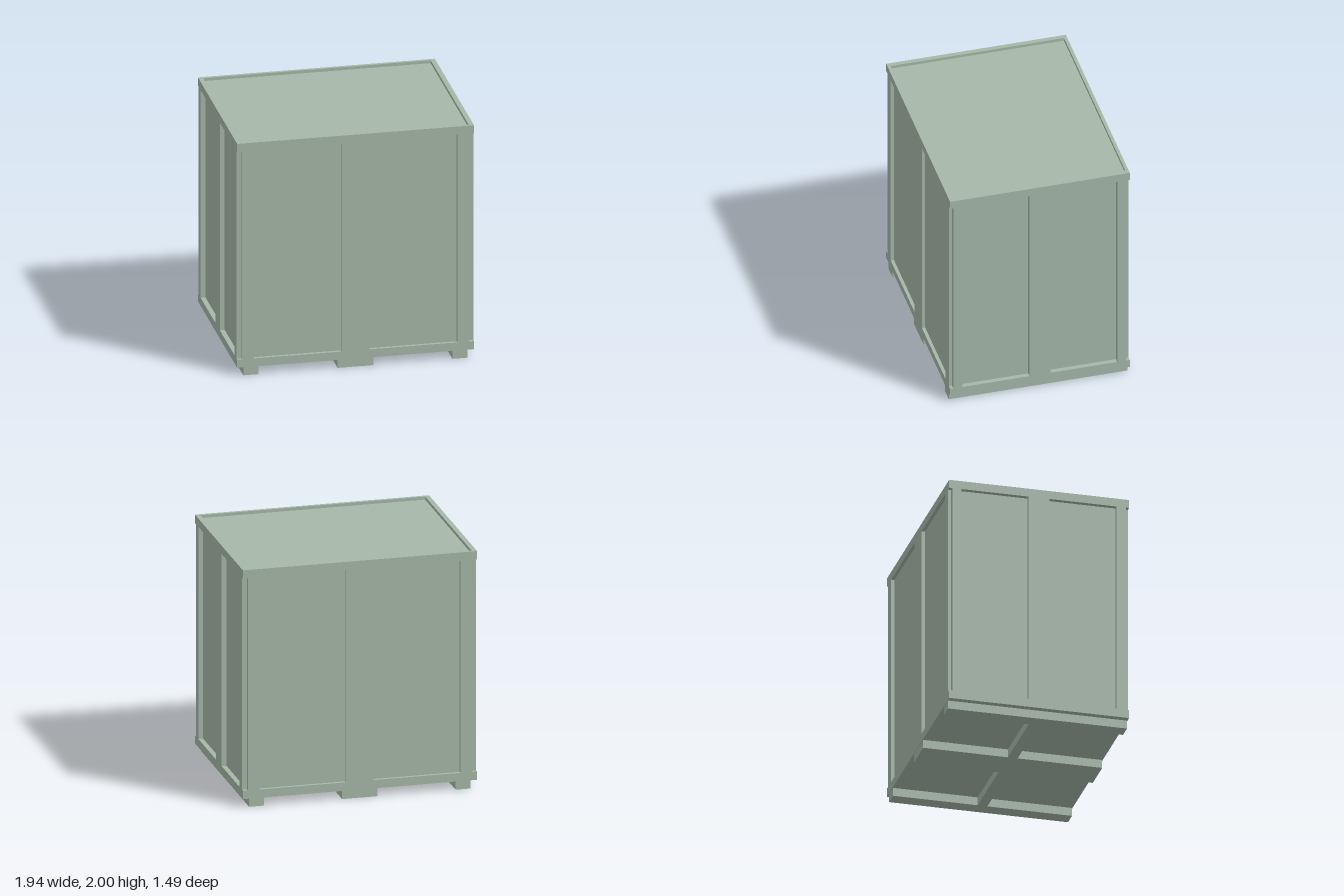
import * as THREE from 'three';

const W = 0.972, D = 0.747;      // outer half width and half depth
const IW = 0.932, ID = 0.72;     // half size of the inner panelled box
const BASE = 0.07, RAIL = 0.07, TOP = 2;

export function createModel() {
  const model = new THREE.Group();
  model.name = 'shippingCrate';
  const paint = new THREE.MeshStandardMaterial({ color: 0xa6b8a9 });
  paint.name = 'sage green';

  const add = (name, geometry) => {
    const mesh = new THREE.Mesh(geometry, paint);
    mesh.name = name;
    model.add(mesh);
  };

  // Box given by its limits on each axis
  const box = (name, x0, x1, y0, y1, z0, z1) => {
    const g = new THREE.BoxGeometry(x1 - x0, y1 - y0, z1 - z0);
    g.translate((x0 + x1) / 2, (y0 + y1) / 2, (z0 + z1) / 2);
    add(name, g);
  };

  // Rectangular ring around the crate
  const ring = (name, y) => {
    const rect = (shape, a, b) => shape.moveTo(-a, -b).lineTo(a, -b).lineTo(a, b).lineTo(-a, b).closePath();
    const shape = rect(new THREE.Shape(), W, D);
    shape.holes.push(rect(new THREE.Path(), IW, ID));
    const g = new THREE.ExtrudeGeometry(shape, { depth: RAIL, bevelEnabled: false });
    g.rotateX(-Math.PI / 2).translate(0, y, 0);
    add(name, g);
  };

  // Panels, with the lid sunk slightly below the top rail
  box('panelBox', -IW, IW, BASE, TOP - 0.025, -ID, ID);
  ring('bottomRail', BASE);
  ring('topRail', TOP - RAIL);

  // Upright battens on all four sides, leaving the corners notched
  const y0 = BASE + RAIL, y1 = TOP - RAIL;
  for (const s of [-1, 1]) {
    const z = [s * ID, s * D].sort((a, b) => a - b);
    const x = [s * IW, s * W].sort((a, b) => a - b);
    const face = s > 0 ? 'front' : 'back', side = s > 0 ? 'left' : 'right';
    for (const [a, b] of [[-IW, -0.835], [-0.115, 0.115], [0.835, IW]]) box(face + 'Batten', a, b, y0, y1, ...z);
    for (const [a, b] of [[-ID, -0.643], [-0.087, 0.087], [0.643, ID]]) box(side + 'Batten', ...x, y0, y1, a, b);
  }

  // Skids running front to back, joined by a cross beam
  for (const [a, b] of [[-0.92, -0.795], [-0.147, 0.147], [0.795, 0.92]]) box('skid', a, b, 0, BASE, -0.743, 0.743);
  for (const [a, b] of [[-0.795, -0.147], [0.147, 0.795]]) box('crossBeam', a, b, 0, BASE, -0.04, 0.04);

  return model;
}
